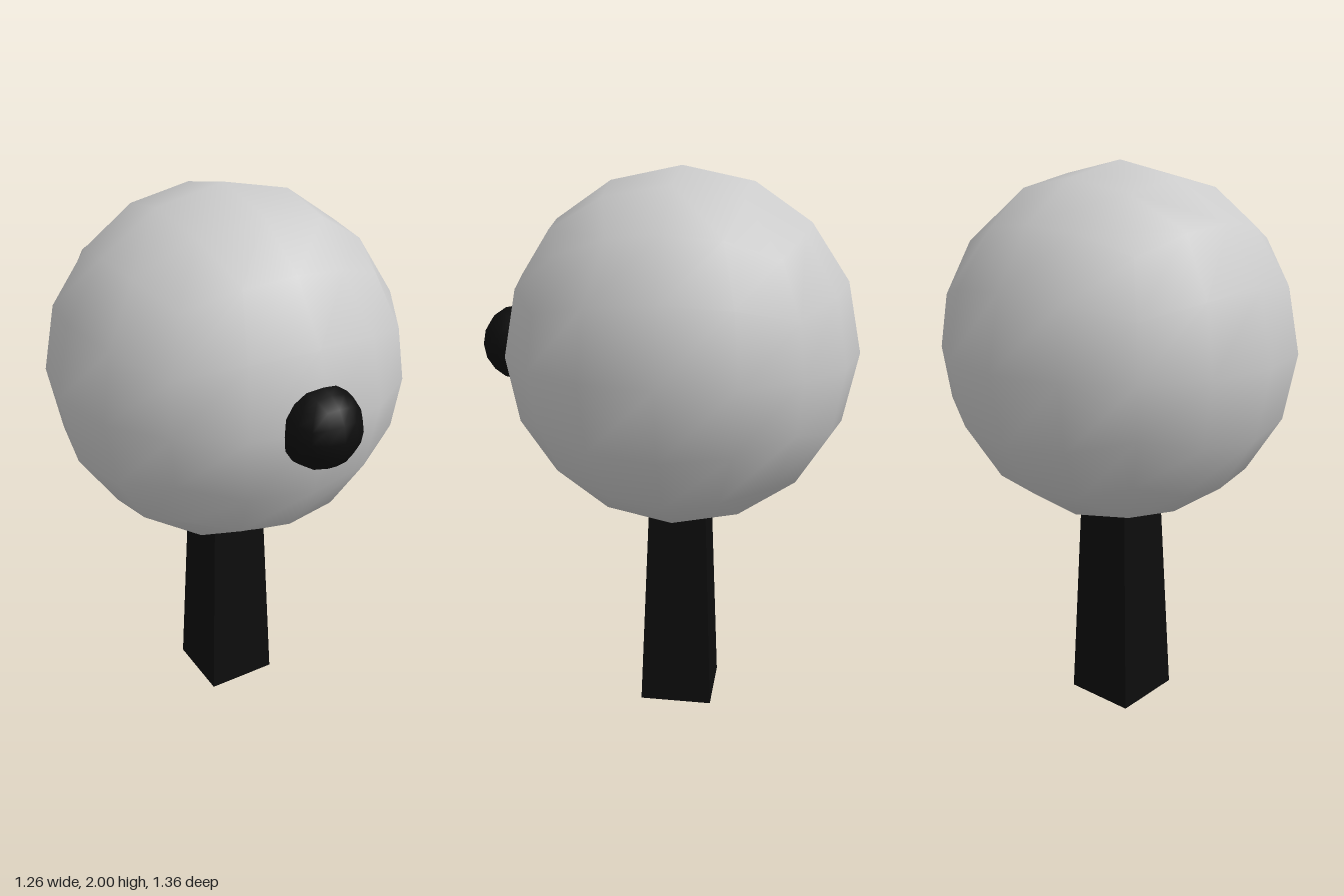
import * as THREE from 'three';

// Ball made from a 4x4x4 box whose vertices are pushed onto a sphere, shaded smooth
function ballGeometry(radius) {
  const geo = new THREE.BoxGeometry(2, 2, 2, 4, 4, 4);
  const pos = geo.attributes.position;
  const normal = geo.attributes.normal;
  const v = new THREE.Vector3();
  const even = (c) => (Math.abs(c) > 0.75 ? c : c * 0.86); // evens out the grid spacing
  for (let i = 0; i < pos.count; i++) {
    v.fromBufferAttribute(pos, i);
    v.set(even(v.x), even(v.y), even(v.z)).normalize();
    normal.setXYZ(i, v.x, v.y, v.z);
    pos.setXYZ(i, v.x * radius, v.y * radius, v.z * radius);
  }
  return geo;
}

// Square post that narrows towards the top, standing on y = 0
function taperedPost(height, bottomHalf, topHalf) {
  const geo = new THREE.BoxGeometry(2, height, 2);
  geo.translate(0, height / 2, 0);
  const pos = geo.attributes.position;
  for (let i = 0; i < pos.count; i++) {
    const half = pos.getY(i) > height / 2 ? topHalf : bottomHalf;
    pos.setX(i, pos.getX(i) * half);
    pos.setZ(i, pos.getZ(i) * half);
  }
  geo.computeVertexNormals();
  return geo;
}

export function createModel() {
  const group = new THREE.Group();
  const grey = new THREE.MeshStandardMaterial({ color: 0xcccccc });
  const black = new THREE.MeshStandardMaterial({ color: 0x0d0d0d });

  const add = (name, geometry, material, x, y, z) => {
    const mesh = new THREE.Mesh(geometry, material);
    mesh.name = name;
    mesh.position.set(x, y, z);
    group.add(mesh);
  };

  // Large round head
  add('head', ballGeometry(0.63), grey, 0, 1.37, -0.05);
  // Small dark ball half sunk into the front
  add('frontKnob', ballGeometry(0.138), black, 0, 1.37, 0.542);
  // Post, ending inside the head
  add('post', taperedPost(0.85, 0.134, 0.102), black, 0, 0, -0.05);

  return group;
}
